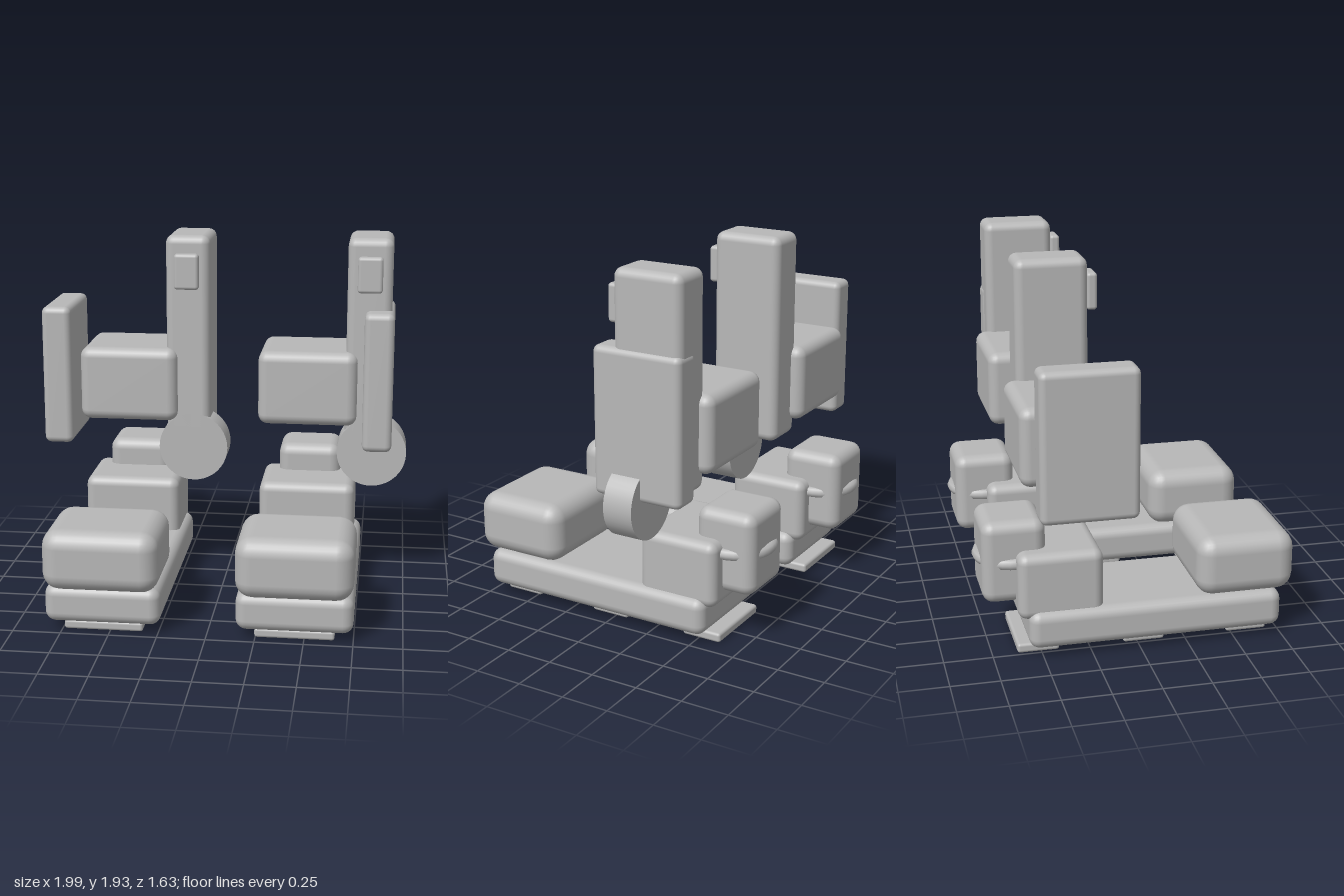
import * as THREE from 'three';
import { RoundedBoxGeometry } from 'three/addons/geometries/RoundedBoxGeometry.js';

export function createModel() {
  const model = new THREE.Group();
  const grey = new THREE.MeshStandardMaterial({ color: 0xb8b8b8 });
  grey.name = 'plain grey';

  const add = (parent, name, geometry, x, y, z) => {
    const mesh = new THREE.Mesh(geometry, grey);
    mesh.name = name;
    mesh.position.set(x, y, z);
    parent.add(mesh);
    return mesh;
  };

  // Rounded block given by its lower and upper limits on each axis
  const block = (parent, name, [x0, x1], [y0, y1], [z0, z1], radius) =>
    add(parent, name, new RoundedBoxGeometry(x1 - x0, y1 - y0, z1 - z0, 3, radius),
      (x0 + x1) / 2, (y0 + y1) / 2, (z0 + z1) / 2);

  for (const side of [-1, 1]) {
    const leg = new THREE.Group();
    leg.name = side < 0 ? 'rightLeg' : 'leftLeg';
    leg.position.x = side < 0 ? -0.535 : 0.45;
    model.add(leg);

    // Foot: sole, toe cap, heel and rear heel guard
    block(leg, 'sole', [-0.3, 0.3], [0.05, 0.25], [-0.57, 0.745], 0.055);
    block(leg, 'toeCap', [-0.3, 0.3], [0.24, 0.56], [0.3, 0.815], 0.09);
    block(leg, 'heel', [-0.265, 0.265], [0.2, 0.55], [-0.62, -0.185], 0.05);
    block(leg, 'heelGuard', [-0.175, 0.175], [0.265, 0.7], [-0.785, -0.46], 0.06);

    // Ring that just breaks through the faces of the heel guard
    const ring = add(leg, 'heelRing', new THREE.TorusGeometry(0.175, 0.03, 8, 32), 0, 0.48, -0.61);
    ring.rotation.x = Math.PI / 2;

    // Treads under the sole
    for (const z of [0.585, 0.035, -0.515])
      block(leg, 'tread', [-0.205, 0.205], [0, 0.05], [z - 0.108, z + 0.108], 0.015);

    // Calf block
    block(leg, 'calf', [-0.27, 0.27], [0.905, 1.312], [-0.6, -0.11], 0.055);

    // Upright column with front pad and lower disc
    block(leg, 'column', [0.205, 0.447], [0.825, 1.93], [-0.535, -0.16], 0.045);
    block(leg, 'columnPad', [0.26, 0.393], [1.645, 1.838], [-0.157, -0.102], 0.018);
    const disc = add(leg, 'disc', new THREE.CylinderGeometry(0.19, 0.19, 0.16, 40), 0.355, 0.755, -0.24);
    disc.rotation.x = Math.PI / 2;

    // Outer side panel, mirrored between the two legs
    const panel = block(leg, 'sidePanel', [0.303, 0.463], [0.783, 1.545], [-0.54, -0.05], 0.035);
    panel.position.x *= side;
  }

  return model;
}
